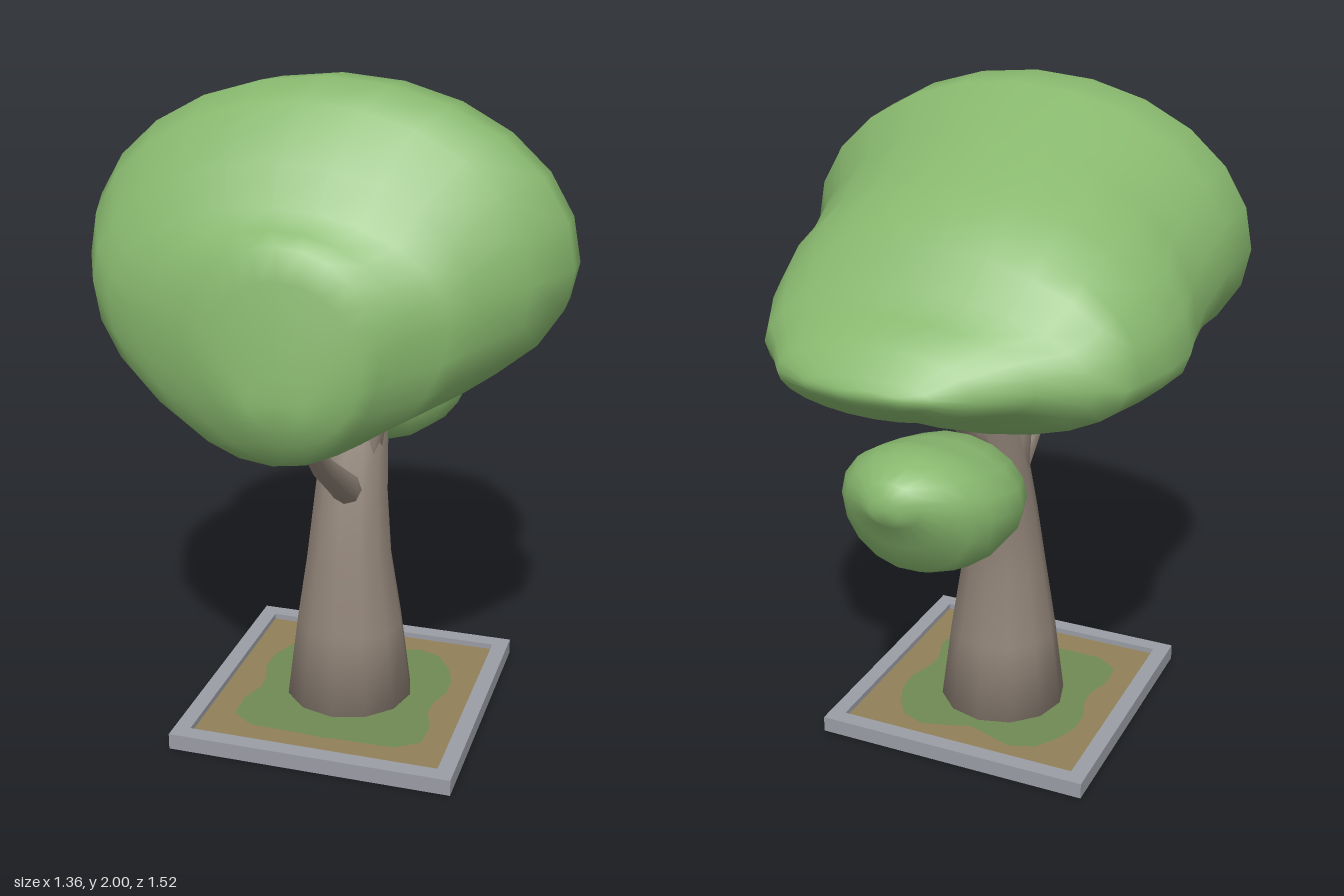
import * as THREE from 'three';

const mat = (name, color, side = THREE.FrontSide) => {
  const m = new THREE.MeshStandardMaterial({ color, side });
  m.name = name;
  return m;
};

// Smooth skin over a list of equal-sized rings, closed at both ends
function loft(rings) {
  const n = rings[0].length, pos = [], idx = [];
  rings.forEach(r => r.forEach(p => pos.push(p.x, p.y, p.z)));
  for (let i = 0; i < rings.length - 1; i++) {
    for (let j = 0; j < n; j++) {
      const a = i * n + j, b = i * n + (j + 1) % n, c = a + n, d = b + n;
      idx.push(a, c, b, b, c, d);
    }
  }
  const last = (rings.length - 1) * n, tip = rings.length * n;
  for (const r of [rings[0], rings[rings.length - 1]]) {
    const c = r.reduce((s, p) => s.add(p), new THREE.Vector3()).divideScalar(n);
    pos.push(c.x, c.y, c.z);
  }
  for (let j = 0; j < n; j++) {
    const k = (j + 1) % n;
    idx.push(tip, j, k, tip + 1, last + k, last + j);
  }
  const g = new THREE.BufferGeometry();
  g.setAttribute('position', new THREE.Float32BufferAttribute(pos, 3));
  g.setIndex(idx);
  g.computeVertexNormals();
  return g;
}

// Foliage from stations running front to back: z, xMin, xMax, yBottom, yMiddle, yTop
function foliage(stations, sides = 24) {
  return loft(stations.map(([z, x0, x1, yb, ym, yt]) =>
    Array.from({ length: sides }, (_, j) => {
      const a = j / sides * Math.PI * 2, s = Math.sin(a);
      return new THREE.Vector3((x0 + x1) / 2 + (x1 - x0) / 2 * Math.cos(a),
        ym + s * (s > 0 ? yt - ym : ym - yb), z);
    })));
}

// Tapered limb through points: x, y, z, radius
function limb(points, sides = 8) {
  const P = points.map(p => new THREE.Vector3(p[0], p[1], p[2]));
  return loft(P.map((p, i) => {
    const t = P[Math.min(i + 1, P.length - 1)].clone().sub(P[Math.max(i - 1, 0)]).normalize();
    const u = new THREE.Vector3(1, 0, 0).addScaledVector(t, -t.x).normalize();
    const v = u.clone().cross(t);
    return Array.from({ length: sides }, (_, j) => {
      const a = j / sides * Math.PI * 2, r = points[i][3];
      return p.clone().addScaledVector(u, r * Math.cos(a)).addScaledVector(v, r * Math.sin(a));
    });
  }));
}

export function createModel() {
  const root = new THREE.Group();
  root.name = 'tree';
  const leaf = mat('leafGreen', 0x88b86e);
  const bark = mat('bark', 0x918478);
  const stone = mat('stone', 0x9b9da5);
  const earth = mat('soil', 0x918059, THREE.DoubleSide);
  const lawn = mat('grass', 0x708a54, THREE.DoubleSide);
  const add = (name, geometry, material) => {
    const m = new THREE.Mesh(geometry, material);
    m.name = name;
    root.add(m);
    return m;
  };

  // Large crown: broad tall front, lower tapering back
  add('crown', foliage([
    [0.76, -0.08, 0.08, 1.17, 1.23, 1.30],
    [0.735, -0.21, 0.22, 1.11, 1.33, 1.55],
    [0.70, -0.28, 0.26, 1.05, 1.36, 1.63],
    [0.65, -0.41, 0.31, 1.02, 1.40, 1.66],
    [0.59, -0.53, 0.41, 1.03, 1.43, 1.70],
    [0.55, -0.59, 0.47, 1.04, 1.46, 1.80],
    [0.45, -0.64, 0.59, 1.07, 1.51, 1.95],
    [0.33, -0.68, 0.68, 1.10, 1.53, 2.00],
    [0.17, -0.665, 0.67, 1.12, 1.51, 1.99],
    [0.04, -0.645, 0.59, 1.13, 1.45, 1.91],
    [-0.10, -0.655, 0.56, 1.14, 1.41, 1.89],
    [-0.20, -0.67, 0.55, 1.16, 1.38, 1.82],
    [-0.32, -0.65, 0.53, 1.17, 1.37, 1.79],
    [-0.42, -0.61, 0.50, 1.17, 1.36, 1.71],
    [-0.48, -0.59, 0.47, 1.17, 1.36, 1.66],
    [-0.525, -0.52, 0.45, 1.20, 1.36, 1.55],
    [-0.60, -0.39, 0.38, 1.24, 1.36, 1.51],
    [-0.69, -0.26, 0.31, 1.26, 1.35, 1.46],
    [-0.74, -0.17, 0.20, 1.31, 1.35, 1.39],
    [-0.76, -0.10, 0.09, 1.33, 1.35, 1.365],
  ]), leaf);

  // Small clump of leaves low at the back
  add('lowerClump', foliage([
    [-0.205, -0.09, 0.05, 0.87, 0.92, 0.97],
    [-0.235, -0.17, 0.13, 0.81, 0.92, 1.02],
    [-0.29, -0.24, 0.19, 0.755, 0.92, 1.08],
    [-0.39, -0.27, 0.23, 0.75, 0.93, 1.10],
    [-0.48, -0.27, 0.23, 0.74, 0.95, 1.12],
    [-0.55, -0.25, 0.21, 0.76, 0.96, 1.14],
    [-0.60, -0.22, 0.18, 0.785, 0.98, 1.13],
    [-0.65, -0.18, 0.14, 0.88, 1.0, 1.12],
    [-0.70, -0.11, 0.07, 0.96, 1.02, 1.09],
    [-0.72, -0.06, 0.03, 0.98, 1.015, 1.05],
  ], 18), leaf);

  // Trunk leaning backwards at the top
  add('trunk', limb([
    [-0.02, 0.03, 0.05, 0.20],
    [-0.02, 0.28, 0.05, 0.168],
    [-0.02, 0.50, 0.05, 0.134],
    [-0.02, 0.70, 0.025, 0.115],
    [-0.02, 0.86, -0.015, 0.105],
    [-0.02, 1.00, -0.06, 0.09],
    [-0.02, 1.12, -0.14, 0.055],
    [-0.02, 1.24, -0.20, 0.03],
  ], 12), bark);

  // Branches
  [
    ['frontBranch', [[-0.01, 0.70, 0.05, 0.055], [-0.01, 0.77, 0.15, 0.045], [-0.01, 0.90, 0.34, 0.034], [-0.01, 1.10, 0.55, 0.02]]],
    ['backBranch', [[-0.02, 0.70, 0, 0.05], [-0.02, 0.77, -0.11, 0.042], [-0.02, 0.84, -0.28, 0.03]]],
    ['leftBranch', [[0.02, 0.80, 0.03, 0.05], [0.05, 1.0, 0.0, 0.042], [0.06, 1.2, -0.01, 0.03]]],
    ['rightBranch', [[-0.06, 0.80, 0.03, 0.05], [-0.09, 1.0, 0.0, 0.042], [-0.10, 1.2, -0.01, 0.03]]],
    ['frontTwig', [[-0.08, 0.95, 0.01, 0.035], [-0.08, 1.04, 0.05, 0.028], [-0.08, 1.18, 0.11, 0.018]]],
    ['backTwig', [[-0.02, 0.95, -0.09, 0.04], [-0.02, 1.04, -0.20, 0.03], [-0.02, 1.20, -0.37, 0.018]]],
  ].forEach(([name, pts]) => add(name, limb(pts), bark));

  // Square planter: stone frame, soil and a grass patch around the trunk
  const square = (h, Type) => new Type([[-h, -h], [h, -h], [h, h], [-h, h]]
    .map(([x, y]) => new THREE.Vector2(x, y)));
  const place = mesh => mesh.position.set(-0.015, mesh.position.y, 0.075);

  const frameShape = square(0.435, THREE.Shape);
  frameShape.holes.push(square(0.385, THREE.Path));
  place(add('planterFrame', new THREE.ExtrudeGeometry(frameShape,
    { depth: 0.05, bevelEnabled: false }).rotateX(-Math.PI / 2), stone));

  const patch = Array.from({ length: 28 }, (_, i) => {
    const a = i / 28 * Math.PI * 2;
    const r = 0.325 - 0.045 * Math.cos(4 * a) + 0.015 * Math.sin(7 * a);
    return new THREE.Vector2(r * Math.cos(a), r * Math.sin(a));
  });
  const soilShape = square(0.387, THREE.Shape);
  soilShape.holes.push(new THREE.Path(patch));
  for (const [name, shape, material] of [
    ['soil', soilShape, earth], ['grassPatch', new THREE.Shape(patch), lawn]]) {
    const m = add(name, new THREE.ShapeGeometry(shape).rotateX(-Math.PI / 2), material);
    m.position.y = 0.032;
    place(m);
  }
  return root;
}
